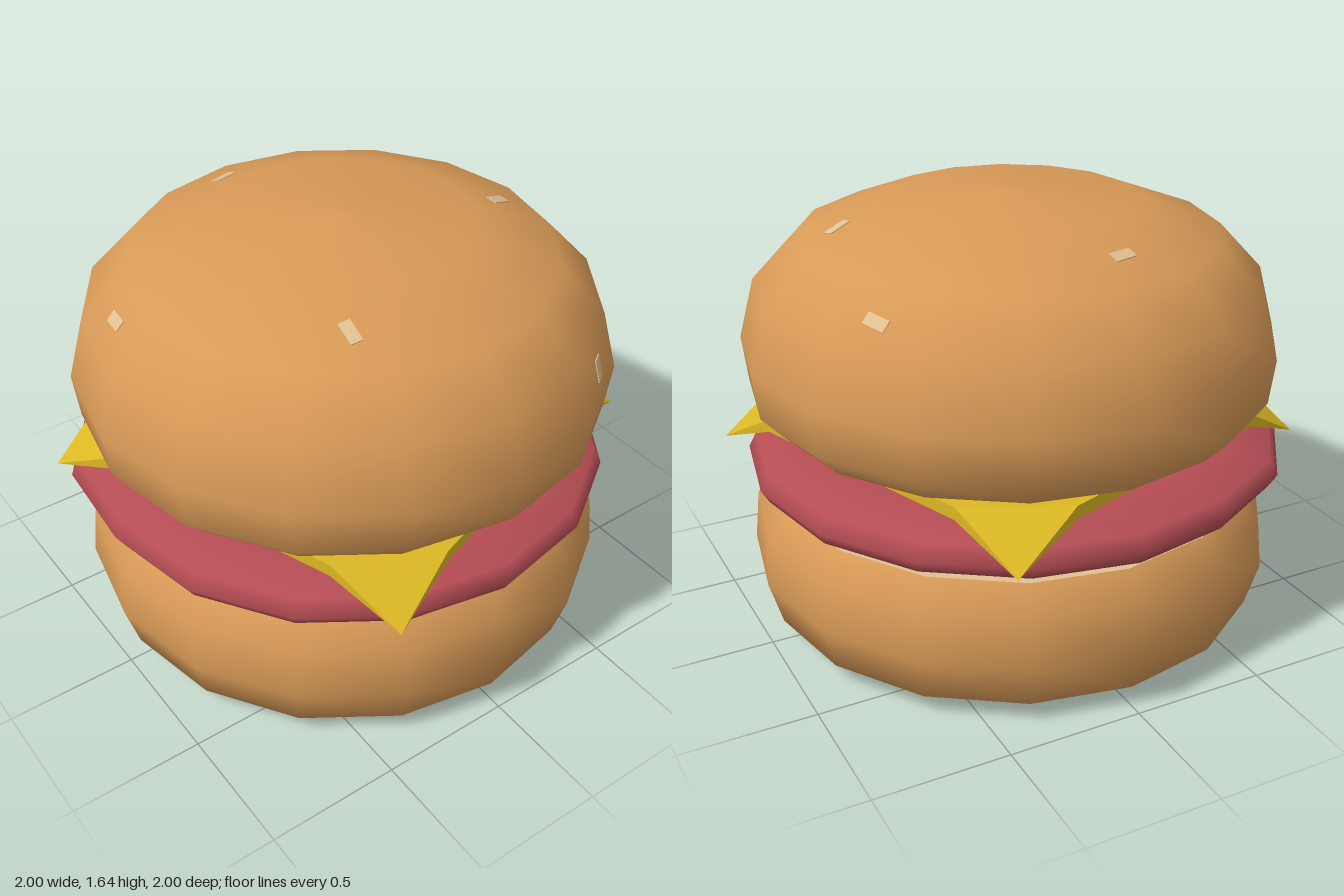
import * as THREE from 'three';
import { ConvexGeometry } from 'three/addons/geometries/ConvexGeometry.js';

function material(name, color, side = THREE.FrontSide) {
  const m = new THREE.MeshStandardMaterial({ color, side });
  m.name = name;
  return m;
}

export function createModel() {
  const group = new THREE.Group();
  const crust = material('bun crust', 0xd89a57);
  const crumb = material('cream crumb', 0xdfc092);
  const meat = material('patty red', 0xb54d54);
  const yellow = material('cheese yellow', 0xdcb824);

  const add = (name, geometry, mat) => {
    const mesh = new THREE.Mesh(geometry, mat);
    mesh.name = name;
    group.add(mesh);
    return mesh;
  };
  // Sixteen-sided turned shape, profile given from bottom to top
  const turned = (profile) =>
    new THREE.LatheGeometry(profile.map(([r, y]) => new THREE.Vector2(r, y)), 16);

  // Bottom bun with its cut face
  add('bottomBun', turned([[0, 0], [0.78, 0.005], [0.95, 0.08], [1, 0.25], [0.98, 0.44], [0.9, 0.53]]), crust);
  add('bottomBunCutFace', turned([[0.9, 0.53], [0, 0.54]]), crumb);

  // Patty, bulging slightly toward the front right
  const pattyGeometry = turned([[0, 0.55], [0.85, 0.55], [0.97, 0.59], [1, 0.64], [0.97, 0.7], [0.8, 0.745], [0, 0.765]]);
  const pos = pattyGeometry.attributes.position;
  for (let i = 0; i < pos.count; i++) {
    const x = pos.getX(i), z = pos.getZ(i), r = Math.hypot(x, z) || 1;
    const bulge = 1 + 0.05 * Math.max(0, (-0.5 * x + 0.866 * z) / r - 0.87) / 0.13;
    pos.setX(i, x * bulge);
    pos.setZ(i, z * bulge);
  }
  add('patty', pattyGeometry, meat);

  // Cheese slice: a slab with cut corners, plus four drooping corner flaps
  const low = 0.77, high = 0.82, fold = 0.185;
  const corners = [[-0.47, 0.99], [0.99, 0.47], [0.47, -0.99], [-0.99, -0.47]].map(([x, z]) => new THREE.Vector2(x, z));
  const outline = [];
  corners.forEach((corner, i) => {
    const before = corner.clone().lerp(corners[(i + 3) % 4], fold);
    const after = corner.clone().lerp(corners[(i + 1) % 4], fold);
    outline.push(before, after);
    const points = [new THREE.Vector3(corner.x, 0.66, corner.y)];
    for (const p of [before, after])
      for (const y of [low, high]) points.push(new THREE.Vector3(p.x, y, p.y));
    add('cheeseCorner', new ConvexGeometry(points), yellow);
  });
  const slab = new THREE.ExtrudeGeometry(
    new THREE.Shape(outline.map((p) => new THREE.Vector2(p.x, -p.y))),
    { depth: high - low - 0.002, bevelEnabled: false });
  slab.rotateX(-Math.PI / 2).translate(0, low, 0);
  add('cheeseSlice', slab, yellow);

  // Top bun with its cut face
  const topBun = add('topBun', turned([[0.89, 0.825], [0.98, 0.92], [1, 1.09], [0.94, 1.315], [0.78, 1.485], [0.48, 1.6], [0, 1.637]]), crust);
  add('topBunCutFace', turned([[0, 0.825], [0.89, 0.825]]), crumb);

  // Seeds: thin plates laid on the bun facets, [position], [long direction]
  const seeds = [
    [[-0.47, 1.4, -0.72], [1, 0, -0.3]],
    [[0.12, 1.54, -0.62], [0.2, 0, 1]],
    [[0.82, 1.21, -0.55], [0, 1, 0]],
    [[-0.61, 1.54, 0.11], [0.25, 0, 1]],
    [[0.52, 1.55, 0.34], [1, 0, 0.15]],
    [[-0.17, 1.41, 0.83], [1, 0, 0.05]],
  ];
  const target = new THREE.Vector3(0, 1, 0);
  topBun.updateMatrixWorld(true);
  for (const [at, along] of seeds) {
    const out = new THREE.Vector3(...at).sub(target);
    const start = target.clone().addScaledVector(out, 3);
    const hit = new THREE.Raycaster(start, out.clone().negate().normalize()).intersectObject(topBun)[0];
    if (!hit) continue;
    const normal = hit.face.normal.clone();
    const length = new THREE.Vector3(...along).projectOnPlane(normal).normalize();
    const width = new THREE.Vector3().crossVectors(normal, length);
    const seed = add('seed', new THREE.BoxGeometry(0.09, 0.008, 0.045), crumb);
    seed.quaternion.setFromRotationMatrix(new THREE.Matrix4().makeBasis(length, normal, width.negate()));
    seed.position.copy(hit.point);
  }
  return group;
}
